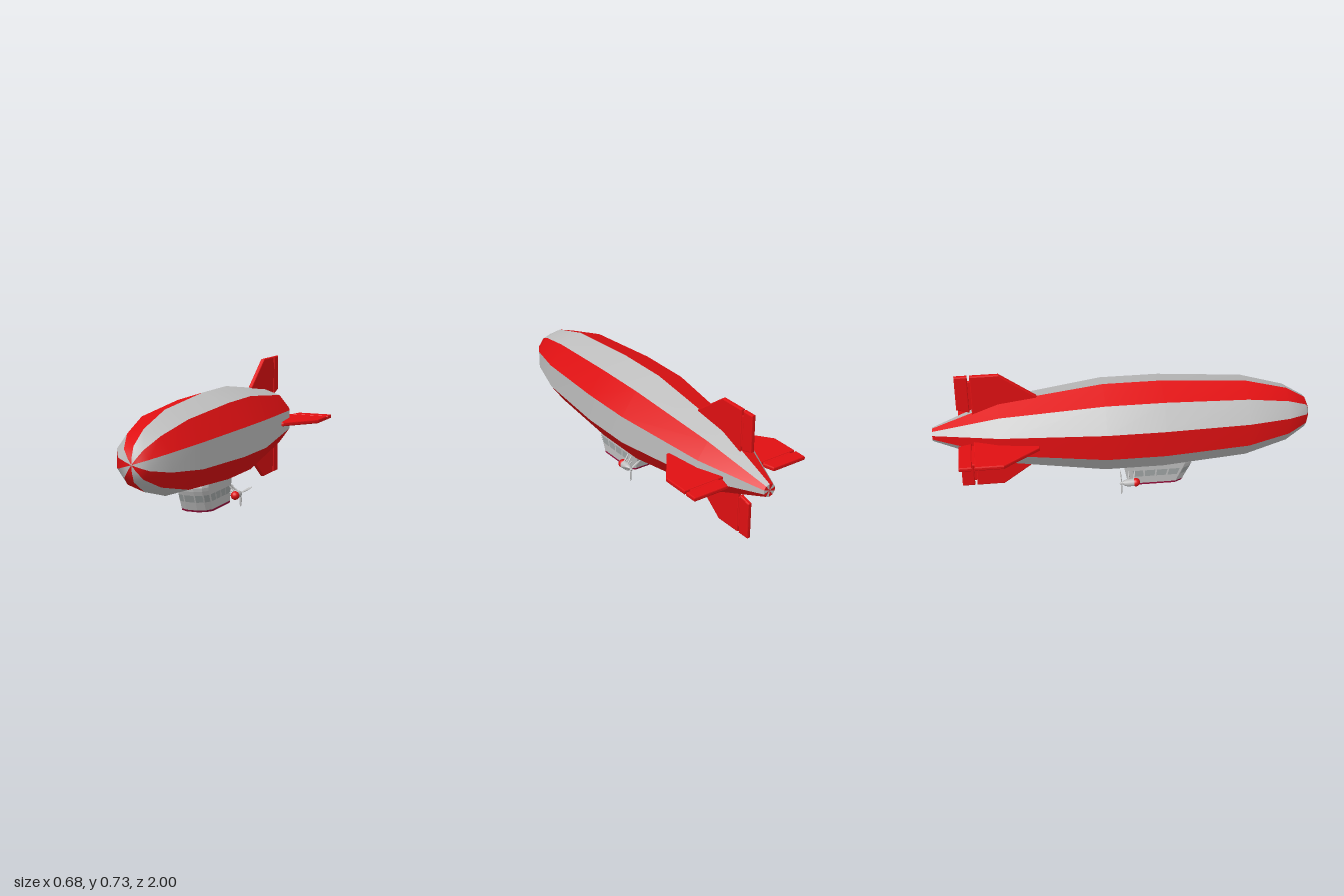
import * as THREE from 'three';

const red = new THREE.MeshStandardMaterial({ name: 'red', color: 0xe01012 });
const silver = new THREE.MeshStandardMaterial({ name: 'silver', color: 0xbebebe });
const crimson = new THREE.MeshStandardMaterial({ name: 'crimson', color: 0x96103c });
const glass = new THREE.MeshStandardMaterial({ name: 'windowGrey', color: 0x9ea3a3, side: THREE.DoubleSide });

const AXIS = 0.39; // height of the hull axis

function add(parent, name, geometry, material) {
  const mesh = new THREE.Mesh(geometry, material);
  mesh.name = name;
  parent.add(mesh);
  return mesh;
}

function fromTriangles(points) {
  const g = new THREE.BufferGeometry();
  g.setAttribute('position', new THREE.Float32BufferAttribute(points.flat(), 3));
  g.computeVertexNormals();
  return g;
}

// One lengthwise hull strip, flat across and smooth along; profile holds [z, radius] from tail to nose
function hullStrip(profile, k) {
  const pos = [], index = [];
  profile.forEach(([z, r], i) => {
    for (const a of [k, k + 1].map(n => n * Math.PI / 5)) pos.push(r * Math.sin(a), AXIS + r * Math.cos(a), z);
    if (i) {
      const b = 2 * i;
      index.push(b - 2, b, b + 1, b - 2, b + 1, b - 1);
    }
  });
  const g = new THREE.BufferGeometry();
  g.setAttribute('position', new THREE.Float32BufferAttribute(pos, 3));
  g.setIndex(index);
  g.computeVertexNormals();
  return g;
}

// Flat-faced skin through closed rings, from the lowest to the highest
function loft(rings) {
  const tris = [];
  for (let i = 1; i < rings.length; i++) {
    const lo = rings[i - 1], hi = rings[i];
    lo.forEach((a, j) => {
      const n = (j + 1) % lo.length;
      tris.push(a, lo[n], hi[n], a, hi[n], hi[j]);
    });
  }
  return fromTriangles(tris);
}

// Gondola outline at a given height, with rounded ends
function gondolaRing(y, inset = 0) {
  const f = 0.335 + (y - 0.04) * 0.45 - inset, b = 0.02 - (y - 0.04) * 0.2 + inset;
  const half = [[0.03, f], [0.068, f - 0.022], [0.088, f - 0.06], [0.088, b + 0.03], [0.06, b]];
  const other = half.map(([x, z]) => [-x, z]).reverse();
  return [other[4], ...half, ...other.slice(0, 4)].map(([x, z]) => [x, y, z]);
}

// Thin pane on wall section i of the gondola, between fractions t0 and t1
function pane(i, t0, t1) {
  const y0 = 0.09, y1 = 0.128;
  const corner = (y, t) => {
    const ring = gondolaRing(y);
    const a = new THREE.Vector3(...ring[i]), b = new THREE.Vector3(...ring[(i + 1) % ring.length]);
    const out = new THREE.Vector3(a.z - b.z, 0, b.x - a.x).negate();
    out.set(-(b.z - a.z), 0, b.x - a.x).normalize();
    return a.lerp(b, t).addScaledVector(out, 0.002).toArray();
  };
  const [p, q, r, s] = [corner(y0, t0), corner(y0, t1), corner(y1, t1), corner(y1, t0)];
  return fromTriangles([p, q, r, p, r, s]);
}

// Bevelled plate from [z, radius] corners, standing upright in the x = 0 plane
function plate(points, thickness) {
  const bevel = thickness * 0.25;
  const g = new THREE.ExtrudeGeometry(new THREE.Shape(points.map(p => new THREE.Vector2(...p))), {
    depth: thickness - 2 * bevel, bevelThickness: bevel, bevelSize: bevel, bevelOffset: -bevel, bevelSegments: 2,
  });
  g.translate(0, 0, bevel - thickness / 2);
  return g.rotateY(-Math.PI / 2);
}

function strut(parent, from, to, radius) {
  const a = new THREE.Vector3(...from), b = new THREE.Vector3(...to);
  const mesh = add(parent, 'engineStrut', new THREE.CylinderGeometry(radius, radius, a.distanceTo(b), 8), silver);
  mesh.position.copy(a).lerp(b, 0.5);
  mesh.quaternion.setFromUnitVectors(new THREE.Vector3(0, 1, 0), b.sub(a).normalize());
}

function makeEngine(side) {
  const engine = new THREE.Group();
  engine.name = side > 0 ? 'leftEngine' : 'rightEngine';
  // Nacelle body with a pointed tail
  const body = [[0, -0.03], [0.006, -0.028], [0.008, -0.012], [0.015, -0.004], [0.02, 0.012], [0.021, 0.058]];
  add(engine, 'nacelle', new THREE.LatheGeometry(body.map(p => new THREE.Vector2(...p)), 16).rotateX(Math.PI / 2), silver);
  add(engine, 'nacelleNose', new THREE.SphereGeometry(0.023, 16, 12).translate(0, 0, 0.057), red);
  // Three-bladed pusher propeller
  for (let i = 0; i < 3; i++) {
    const blade = new THREE.SphereGeometry(1, 10, 8).scale(0.0065, 0.036, 0.003);
    blade.rotateY(0.5).translate(0, -0.039, -0.02).rotateZ(i * Math.PI * 2 / 3);
    add(engine, 'propellerBlade', blade, silver);
  }
  // Struts to the gondola wall
  for (const z of [0.015, 0.045]) {
    strut(engine, [0, 0.012, z], [-side * 0.036, 0.05, z + 0.01], 0.004);
    strut(engine, [0, 0, z], [-side * 0.036, 0.015, z + 0.01], 0.004);
  }
  engine.position.set(side * 0.121, 0.077, 0);
  return engine;
}

export function createModel() {
  const model = new THREE.Group();
  model.name = 'airship';

  // Ten-sided striped hull
  const profile = [[-1, 0.035], [-0.65, 0.17], [-0.105, 0.244], [0.2, 0.244], [0.645, 0.212],
    [0.87, 0.15], [0.975, 0.085], [0.995, 0.035], [1, 0]];
  const hull = new THREE.Group();
  hull.name = 'hull';
  model.add(hull);
  for (let k = 0; k < 10; k++) {
    const paint = k % 2 ? red : silver;
    add(hull, 'hullStrip', hullStrip(profile, k), paint);
    add(hull, 'tailCap', hullStrip([[-1, 0], [-1, 0.035]], k), paint);
  }

  // Four tail fins, each with a hinged control surface
  const fin = plate([[-0.45, 0.15], [-0.45, 0.2], [-0.64, 0.341], [-0.787, 0.341], [-0.787, 0.11]], 0.022);
  const flap = plate([[-0.799, 0.125], [-0.799, 0.341], [-0.866, 0.341], [-0.866, 0.143]], 0.022);
  const hinge = plate([[-0.78, 0.14], [-0.78, 0.31], [-0.806, 0.31], [-0.806, 0.14]], 0.014);
  for (let i = 0; i < 4; i++) {
    const tail = new THREE.Group();
    tail.name = ['topFin', 'rightFin', 'bottomFin', 'leftFin'][i];
    add(tail, 'fin', fin, red);
    add(tail, 'controlSurface', flap, red);
    add(tail, 'hinge', hinge, red);
    tail.position.y = AXIS;
    tail.rotation.z = i * Math.PI / 2;
    model.add(tail);
  }

  // Gondola with coloured floor and windows
  const gondola = new THREE.Group();
  gondola.name = 'gondola';
  model.add(gondola);
  add(gondola, 'gondolaWalls', loft([gondolaRing(0.045), gondolaRing(0.15), gondolaRing(0.168, 0.004), gondolaRing(0.185, 0.02)]), silver);
  const floor = gondolaRing(0.035);
  add(gondola, 'gondolaFloor', loft([floor.map(() => [0, 0.035, 0.18]), floor, gondolaRing(0.045)]), crimson);
  const panes = [[9, 0.05, 0.93], [0, 0.06, 0.94], [1, 0.07, 0.95], [2, 0.1, 0.9], [8, 0.1, 0.9]];
  for (const wall of [3, 7]) {
    for (let i = 0; i < 4; i++) panes.push([wall, 0.04 + i * 0.235, 0.24 + i * 0.235]);
  }
  for (const p of panes) add(gondola, 'window', pane(...p), glass);

  for (const side of [1, -1]) model.add(makeEngine(side));
  return model;
}
